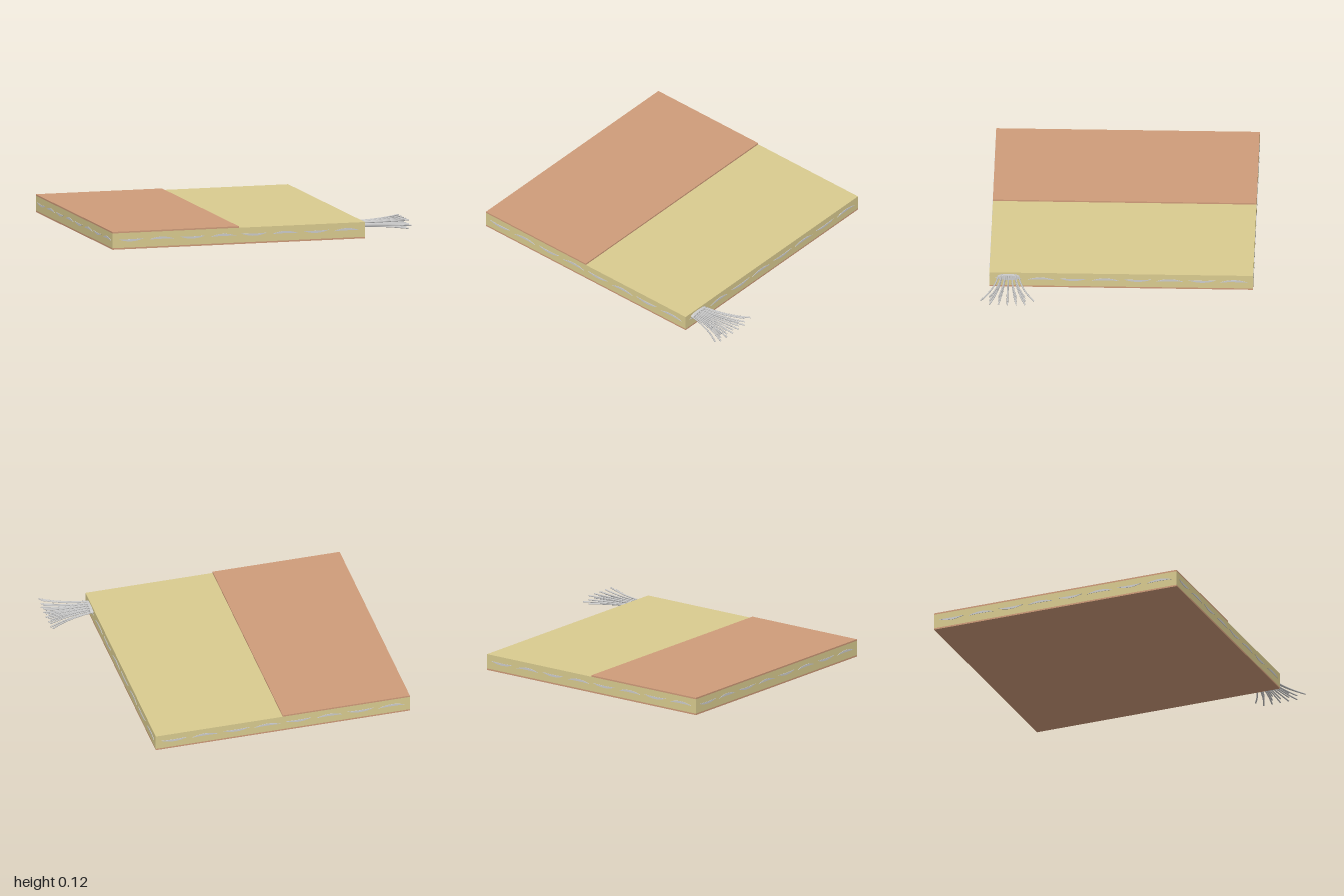
import * as THREE from 'three';

const CX = -0.148, CZ = -0.028; // centre of the slab
const W = 1.697, D = 1.697;

export function createModel() {
  const model = new THREE.Group();
  const facing = new THREE.MeshStandardMaterial({ color: 0xcf9c7a });
  const core = new THREE.MeshStandardMaterial({ color: 0xd9cb8f });
  const grey = new THREE.MeshStandardMaterial({ color: 0xcccccc });

  const add = (parent, name, geometry, material, x, y, z) => {
    const mesh = new THREE.Mesh(geometry, material);
    mesh.name = name;
    mesh.position.set(x, y, z);
    parent.add(mesh);
    return mesh;
  };

  // Sandwich: full bottom sheet, core, half-width top sheet
  add(model, 'bottomSheet', new THREE.BoxGeometry(W, 0.01, D), facing, CX, 0.005, CZ);
  add(model, 'core', new THREE.BoxGeometry(W, 0.096, D), core, CX, 0.058, CZ);
  add(model, 'topSheet', new THREE.BoxGeometry(W / 2, 0.01, D), facing, CX - W / 4, 0.111, CZ);

  // Thin crescents along each edge, arching alternately down and up
  const crescent = (dir) => {
    const s = new THREE.Shape();
    s.moveTo(-0.087, 0);
    s.quadraticCurveTo(0, dir * 0.034, 0.087, 0);
    s.quadraticCurveTo(0, dir * 0.006, -0.087, 0);
    return new THREE.ExtrudeGeometry(s, { depth: 0.006, bevelEnabled: false, curveSegments: 12 });
  };
  const down = crescent(-1), up = crescent(1);
  const edges = ['front', 'left', 'back', 'right'];
  edges.forEach((edge, side) => {
    const row = new THREE.Group();
    row.name = edge + 'Strands';
    row.position.set(CX, 0, CZ);
    row.rotation.y = side * Math.PI / 2;
    for (let i = 0; i < 8; i++) {
      const odd = i % 2;
      add(row, 'strand', odd ? up : down, grey, (i - 3.5) * 0.2075, odd ? 0.055 : 0.067, W / 2 - 0.003);
    }
    model.add(row);
  });

  // Frayed bundle of fibres leaving the side near the front corner
  const bundle = new THREE.Group();
  bundle.name = 'fibreBundle';
  bundle.position.set(0.7, 0.079, 0.698);
  model.add(bundle);
  const collar = add(bundle, 'collar', new THREE.CylinderGeometry(1, 1, 0.02, 24), grey, 0.01, 0, 0);
  collar.rotation.z = Math.PI / 2;
  collar.scale.set(0.017, 1, 0.072);

  const fibre = (y, z) => {
    const at = (x, fy, fz) => new THREE.Vector3(x, y * fy, z * fz);
    const curve = new THREE.QuadraticBezierCurve3(at(-0.02, 0.4, 0.37), at(0.15, 0.45, 0.45), at(0.298, 1, 1));
    add(bundle, 'fibre', new THREE.TubeGeometry(curve, 12, 0.005, 6), grey, 0, 0, 0);
    // Closed tip
    const tip = add(bundle, 'fibreTip', new THREE.CircleGeometry(0.005, 6), grey, 0.298, y, z);
    tip.lookAt(tip.position.clone().add(curve.getTangent(1)));
  };
  for (const [y, count] of [[0, 7], [0.028, 5], [-0.028, 5]]) {
    for (let i = 0; i < count; i++) fibre(y, (i - (count - 1) / 2) * 0.058);
  }
  return model;
}
